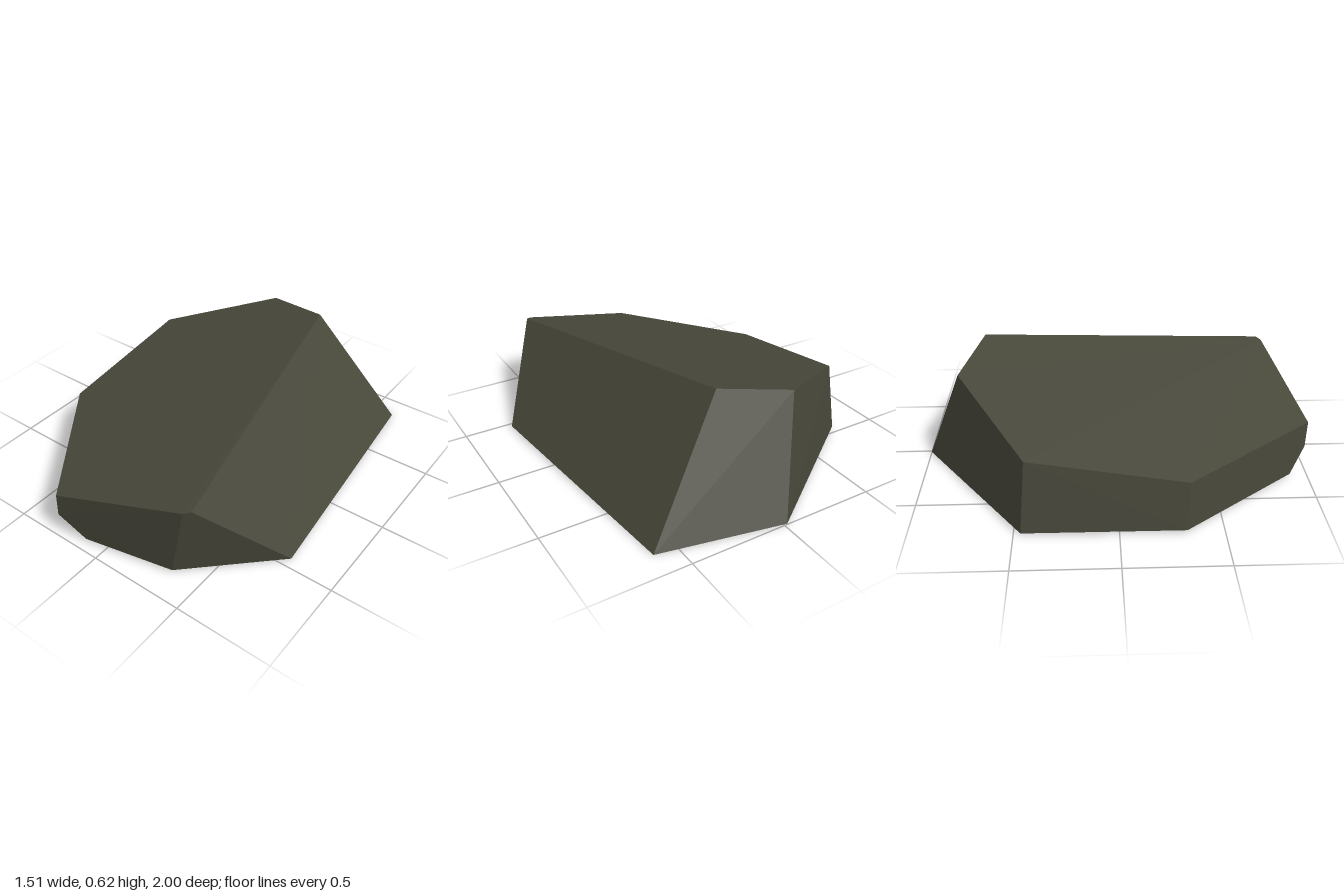
import * as THREE from 'three';
import { ConvexGeometry } from 'three/addons/geometries/ConvexGeometry.js';

export function createModel() {
  const group = new THREE.Group();
  group.name = 'rock';
  const stone = new THREE.MeshStandardMaterial({ color: 0x47473a });
  stone.name = 'dark olive stone';

  // Rim of the sloping top face
  const top = [
    [0.18, 0.615, -0.68], [-0.18, 0.556, -0.785], [-0.715, 0.385, -0.435],
    [-0.732, 0.265, 0.33], [-0.225, 0.275, 0.995], [0.44, 0.442, 0.865], [0.47, 0.45, 0.84],
  ];
  // Small chipped corner at the front
  const chip = [[-0.24, 0.14, 0.988]];
  // Outline of the nearly flat underside
  const base = [
    [0.755, 0.012, 0.455], [0.615, 0, -0.865], [-0.015, 0.004, -1], [-0.755, 0.013, -0.465],
    [-0.76, 0.015, 0.32], [-0.315, 0.018, 0.905], [-0.11, 0.018, 0.948], [0.35, 0.015, 0.85],
  ];

  // Faceted boulder spanning all corners
  const corners = [...top, ...chip, ...base].map((p) => new THREE.Vector3(...p));
  const boulder = new THREE.Mesh(new ConvexGeometry(corners), stone);
  boulder.name = 'boulder';
  group.add(boulder);
  return group;
}
